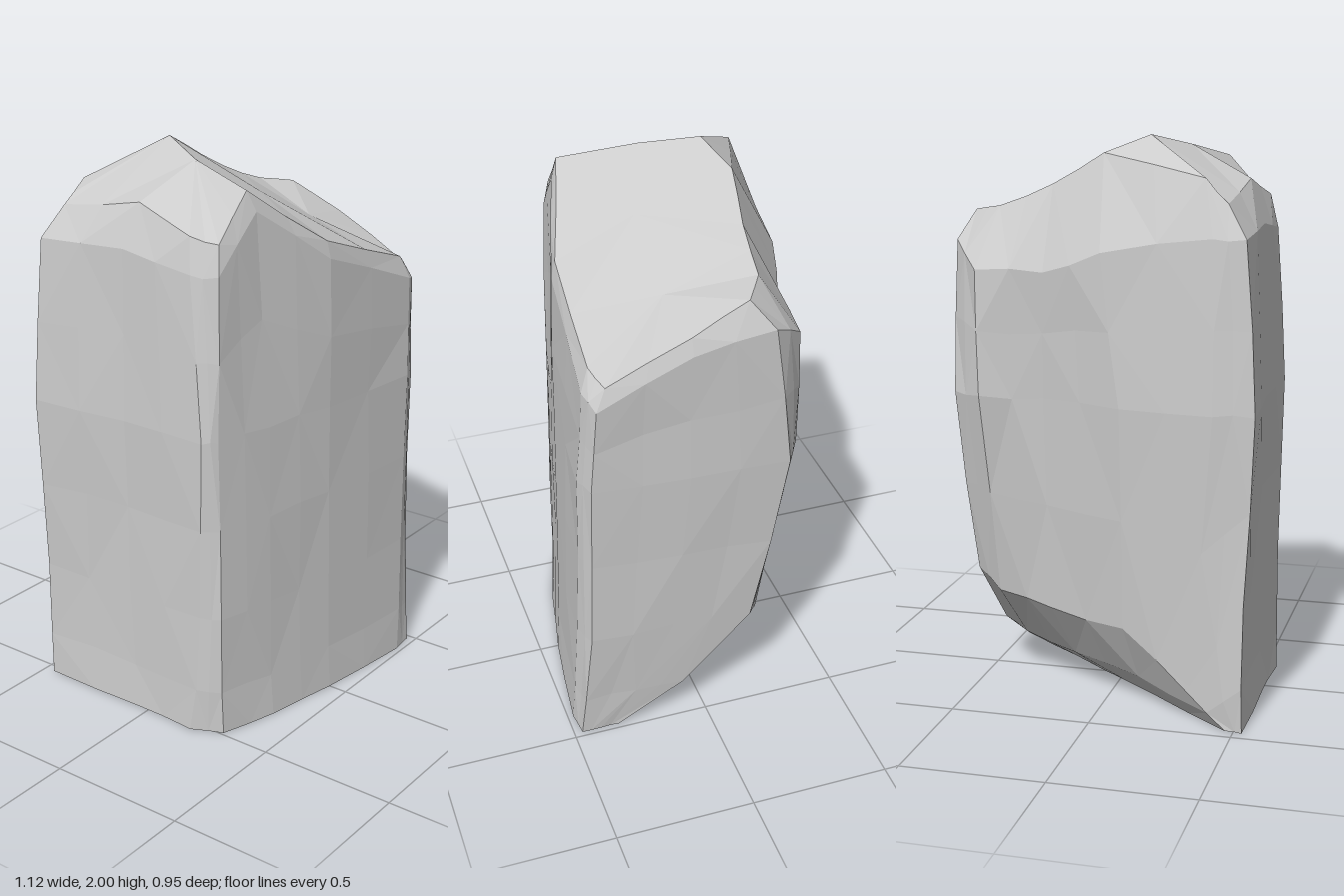
import * as THREE from 'three';

// Columns run around the boulder, counter-clockwise from above, starting at the front +x corner.
// Lower body: x,z at the base, x,y,z at the top of the undercut, x,z at the waist
const BODY = [
  [0.48, 0.47, 0.505, 0.45, 0.43, 0.515, 0.42],
  [0.48, 0.40, 0.51, 0.45, 0.13, 0.54, 0.08],
  [0.48, 0.33, 0.51, 0.42, -0.16, 0.55, -0.27],
  [0.36, 0.23, 0.41, 0.36, -0.22, 0.44, -0.335],
  [0.10, 0.02, 0.20, 0.33, -0.28, 0.21, -0.315],
  [-0.16, -0.19, -0.09, 0.31, -0.38, -0.09, -0.43],
  [-0.47, -0.45, -0.34, 0.14, -0.43, -0.42, -0.475],
  [-0.53, -0.46, -0.53, 0.45, -0.46, -0.56, -0.46],
  [-0.53, -0.05, -0.52, 0.45, -0.08, -0.53, -0.08],
  [-0.54, 0.20, -0.53, 0.45, 0.24, -0.54, 0.26],
  [-0.49, 0.31, -0.50, 0.45, 0.31, -0.50, 0.30],
  [-0.28, 0.375, -0.28, 0.45, 0.36, -0.28, 0.35],
  [0.00, 0.43, 0.00, 0.45, 0.415, 0.00, 0.405],
  [0.39, 0.48, 0.42, 0.45, 0.46, 0.44, 0.45],
];
// Crown: x,y,z at the shoulder, x,y,z at the rim of the sloping top
const CROWN = [
  [0.53, 1.42, 0.40, 0.515, 1.50, 0.365],
  [0.55, 1.58, 0.08, 0.53, 1.64, 0.08],
  [0.555, 1.63, -0.20, 0.51, 1.73, -0.12],
  [0.45, 1.54, -0.325, 0.40, 1.75, -0.19],
  [0.20, 1.54, -0.345, 0.20, 1.83, -0.21],
  [-0.02, 1.62, -0.41, 0.01, 1.94, -0.24],
  [-0.41, 1.68, -0.445, -0.37, 1.87, -0.37],
  [-0.52, 1.68, -0.44, -0.45, 1.79, -0.39],
  [-0.515, 1.70, -0.08, -0.46, 1.85, -0.05],
  [-0.515, 1.66, 0.20, -0.49, 1.78, 0.18],
  [-0.48, 1.66, 0.29, -0.46, 1.76, 0.275],
  [-0.30, 1.84, 0.305, -0.32, 1.91, 0.28],
  [0.00, 1.63, 0.395, 0.00, 1.69, 0.38],
  [0.46, 1.46, 0.43, 0.44, 1.54, 0.40],
];

let seed = 7;
const jitter = (a) => {
  seed = (seed * 16807) % 2147483647;
  return (seed / 2147483647 - 0.5) * 2 * a;
};
const vec = (x, y, z) => new THREE.Vector3(x, y, z);

// Point halfway between two others, nudged to chip the surface
function chip(a, b, amount) {
  const p = a.clone().lerp(b, 0.5);
  p.x += jitter(amount);
  p.z += jitter(amount);
  if (p.y > 0.01) p.y += jitter(amount * 2);
  return p;
}

function buildRows() {
  const levels = [
    BODY.map((b) => vec(b[0], 0, b[1])),
    BODY.map((b) => vec(b[2], b[3], b[4])),
    BODY.map((b) => vec(b[5], 1.1, b[6])),
    CROWN.map((c) => vec(c[0], c[1], c[2])),
    CROWN.map((c) => vec(c[3], c[4], c[5])),
  ];
  // extra rows between the levels, except in the narrow bevel under the rim
  const rows = [];
  levels.forEach((row, l) => {
    rows.push(row);
    if (l < 3) rows.push(row.map((p, i) => chip(p, levels[l + 1][i], 0.005)));
  });
  // the undercut bulges downwards
  for (const p of rows[1]) p.y *= 0.7;
  // extra columns between the main ones
  return rows.map((row, r) => row.flatMap((p, i) => {
    const amount = r === rows.length - 1 ? 0.003 : 0.005;
    return [p, chip(p, row[(i + 1) % row.length], amount)];
  }));
}

function boulderGeometry() {
  const rows = buildRows();
  const n = rows[0].length;
  const out = [];
  const tri = (a, b, c) => {
    if (a !== b && b !== c && a !== c) for (const p of [a, b, c]) out.push(p.x, p.y, p.z);
  };

  // sides, with alternating diagonals
  for (let r = 0; r < rows.length - 1; r++) {
    for (let i = 0; i < n; i++) {
      const j = (i + 1) % n;
      const [a, b, c, d] = [rows[r][i], rows[r][j], rows[r + 1][j], rows[r + 1][i]];
      if ((r + i) % 2) { tri(a, b, c); tri(a, c, d); }
      else { tri(a, b, d); tri(b, c, d); }
    }
  }

  // top: a long slope in two parts, the peak, and the ridge beside it
  const lowSlope = vec(0.3, 1.675, 0.1);
  const highSlope = vec(0, 1.82, 0.1);
  const peak = vec(-0.14, 2.0, -0.18);
  const ridge = vec(-0.24, 1.96, 0.01);
  const hubs = [
    lowSlope, lowSlope, lowSlope, lowSlope, highSlope, peak, peak,
    peak, ridge, ridge, ridge, ridge, highSlope, lowSlope,
  ];
  const rim = rows[rows.length - 1];
  for (let i = 0; i < n; i++) {
    const j = (i + 1) % n;
    const here = hubs[Math.floor(i / 2)];
    const next = hubs[Math.floor(j / 2)];
    tri(rim[i], rim[j], next);
    tri(rim[i], next, here);
  }
  tri(highSlope, peak, ridge);

  // flat underside
  const centre = vec(-0.1, 0, 0.15);
  for (let i = 0; i < n; i++) tri(rows[0][(i + 1) % n], rows[0][i], centre);

  const g = new THREE.BufferGeometry();
  g.setAttribute('position', new THREE.Float32BufferAttribute(out, 3));
  g.computeVertexNormals();
  return g;
}

export function createModel() {
  const group = new THREE.Group();
  group.name = 'rock';
  const material = new THREE.MeshStandardMaterial({ color: 0xcccccc, flatShading: true });
  const boulder = new THREE.Mesh(boulderGeometry(), material);
  boulder.name = 'boulder';
  group.add(boulder);
  return group;
}
